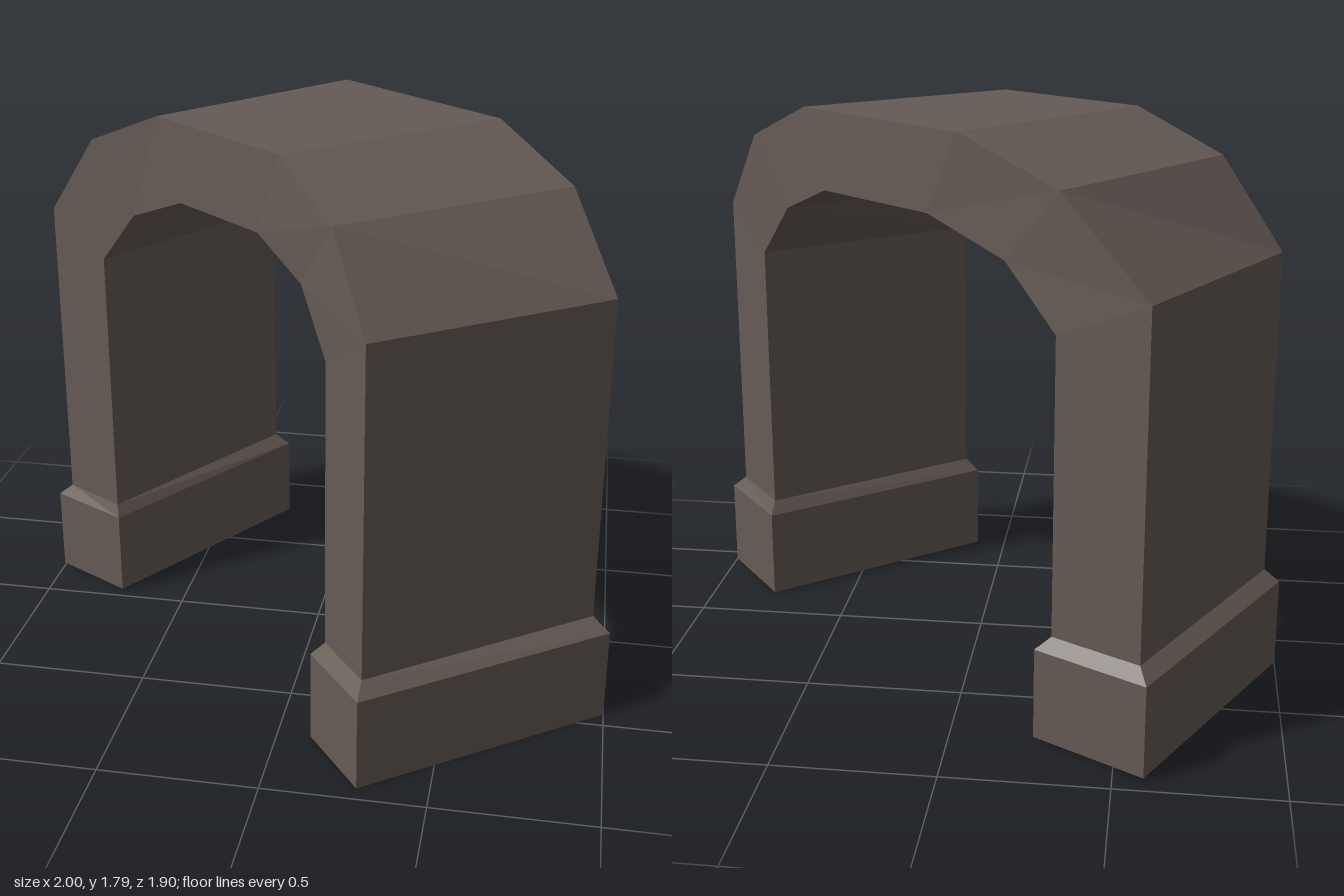
import * as THREE from 'three';

const stone = new THREE.MeshStandardMaterial({ color: 0x665b55, side: THREE.DoubleSide, flatShading: true });
stone.name = 'brown stone';

// Open-ended loft through four-cornered rings
function loft(name, rings) {
  const pos = [];
  for (let i = 0; i < rings.length - 1; i++) {
    for (let j = 0; j < 4; j++) {
      const k = (j + 1) % 4;
      const a = rings[i][j], b = rings[i][k], c = rings[i + 1][k], d = rings[i + 1][j];
      pos.push(...a, ...d, ...c, ...a, ...c, ...b);
    }
  }
  const geometry = new THREE.BufferGeometry();
  geometry.setAttribute('position', new THREE.Float32BufferAttribute(pos, 3));
  geometry.computeVertexNormals();
  const mesh = new THREE.Mesh(geometry, stone);
  mesh.name = name;
  return mesh;
}

// Corner order everywhere: outer front, outer back, inner back, inner front
const level = (corners, y) => corners.map(([x, z]) => [x, y, z]);
const station = (outerY, innerY, corners) =>
  corners.map(([x, z], i) => [x, i < 2 ? outerY : innerY, z]);

export function createModel() {
  const group = new THREE.Group();
  group.name = 'curvedArch';

  // Plan outlines of the plinths and the pillars on them
  const leftPlinth = [[-1, -0.18], [-0.59, -0.95], [-0.255, -0.76], [-0.73, -0.03]];
  const rightPlinth = [[0.285, 0.95], [1, 0.44], [0.78, 0.16], [0.105, 0.72]];
  const leftPillar = [[-0.95, -0.18], [-0.57, -0.9], [-0.305, -0.75], [-0.74, -0.055]];
  const rightPillar = [[0.29, 0.9], [0.945, 0.42], [0.775, 0.195], [0.15, 0.72]];

  // Arch stations, from the left springing to the right one
  const arch = [
    station(1.39, 1.26, leftPillar),
    station(1.665, 1.445, [[-0.76, -0.06], [-0.31, -0.755], [-0.15, -0.65], [-0.6, 0.04]]),
    station(1.79, 1.54, [[-0.49, 0.11], [0, -0.55], [0.1, -0.47], [-0.4, 0.19]]),
    station(1.79, 1.54, [[-0.02, 0.51], [0.56, -0.05], [0.48, -0.14], [-0.1, 0.45]]),
    station(1.66, 1.445, [[0.17, 0.74], [0.8, 0.22], [0.65, 0.05], [0.06, 0.61]]),
    station(1.39, 1.26, rightPillar),
  ];

  // Hollow plinths with a sloped top edge, pillars, and the arch between them
  group.add(
    loft('leftPlinth', [level(leftPlinth, 0.01), level(leftPlinth, 0.3), level(leftPillar, 0.34)]),
    loft('leftPillar', [level(leftPillar, 0.34), arch[0]]),
    loft('arch', arch),
    loft('rightPillar', [arch[5], level(rightPillar, 0.345)]),
    loft('rightPlinth', [level(rightPillar, 0.345), level(rightPlinth, 0.3), level(rightPlinth, 0)]),
  );
  return group;
}
